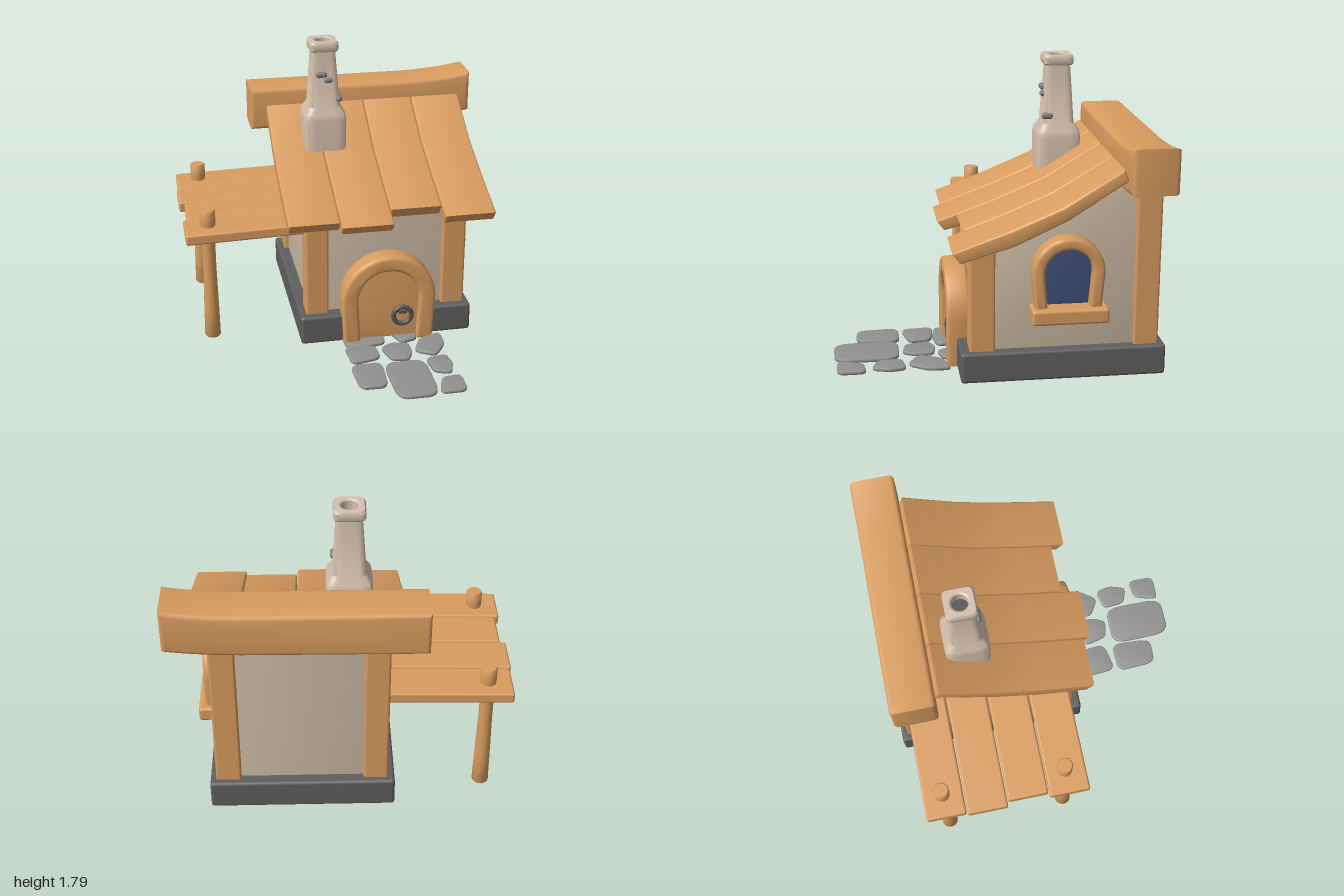
import * as THREE from 'three';
import { toCreasedNormals } from 'three/addons/utils/BufferGeometryUtils.js';
import { RoundedBoxGeometry } from 'three/addons/geometries/RoundedBoxGeometry.js';

const material = (name, color) => {
  const m = new THREE.MeshStandardMaterial({ color });
  m.name = name;
  return m;
};
const V = (x, y) => new THREE.Vector2(x, y);

// Bevelled slab: a flat shape extruded over z = 0..depth
function slab(shape, depth, bevel) {
  const geo = new THREE.ExtrudeGeometry(shape, {
    depth: depth - 2 * bevel, bevelThickness: bevel, bevelSize: bevel,
    bevelOffset: -bevel, bevelSegments: 3, curveSegments: 8,
  });
  return toCreasedNormals(geo.translate(0, 0, bevel), 0.7);
}

// Profile drawn as (z, y), extruded across x0..x1
const profileX = (points, x0, x1, bevel) =>
  slab(new THREE.Shape(points), x1 - x0, bevel).rotateY(-Math.PI / 2).translate(x1, 0, 0);

// Horseshoe outline from lower left, over the top, to lower right
function archPoints(w, wBottom, y0, top) {
  const pts = [V(-wBottom, y0)];
  for (let i = 0; i <= 20; i++) {
    const a = Math.PI * (1 - i / 20);
    pts.push(V(w * Math.cos(a), top - w + w * Math.sin(a)));
  }
  pts.push(V(wBottom, y0));
  return pts;
}

// Polygon with softened corners
function softShape(flat) {
  const p = [];
  for (let i = 0; i < flat.length; i += 2) p.push(V(flat[i], -flat[i + 1]));
  const s = new THREE.Shape(), n = p.length;
  for (let i = 0; i < n; i++) {
    const a = p[i].clone().lerp(p[(i + n - 1) % n], 0.28);
    const b = p[i].clone().lerp(p[(i + 1) % n], 0.28);
    if (i === 0) s.moveTo(a.x, a.y); else s.lineTo(a.x, a.y);
    s.quadraticCurveTo(p[i].x, p[i].y, b.x, b.y);
  }
  s.closePath();
  return s;
}

export function createModel() {
  const model = new THREE.Group();
  model.name = 'cottage';
  const wood = material('wood', 0xd99c5f);
  const plaster = material('plaster', 0xcfbda7);
  const chimneyStone = material('chimneyStone', 0xd5c0ae);
  const darkStone = material('darkStone', 0x5f5f5f);
  const paving = material('paving', 0x919191);
  const pebble = material('pebble', 0x808080);
  const iron = material('iron', 0x555555);
  const glass = material('glass', 0x42507c);

  const add = (name, geo, mat) => {
    const mesh = new THREE.Mesh(geo, mat);
    mesh.name = name;
    model.add(mesh);
    return mesh;
  };
  const box = (name, mat, x0, x1, y0, y1, z0, z1, r = 0.015) => {
    const mesh = add(name, new RoundedBoxGeometry(x1 - x0, y1 - y0, z1 - z0, 3, r), mat);
    mesh.position.set((x0 + x1) / 2, (y0 + y1) / 2, (z0 + z1) / 2);
    return mesh;
  };

  // Foundation, walls and corner posts
  box('foundation', darkStone, -0.31, 0.785, 0.005, 0.19, -0.97, 0.24, 0.018);
  add('walls', profileX([V(0.15, 0.15), V(0.15, 0.83), V(-0.055, 0.89), V(-0.355, 1.03),
    V(-0.58, 1.175), V(-0.9, 1.18), V(-0.9, 0.15)], -0.24, 0.72, 0.002), plaster);
  for (const [x0, x1] of [[-0.27, -0.125], [0.6, 0.75]]) {
    box('frontPost', wood, x0, x1, 0.17, 0.85, 0.037, 0.187);
    box('backPost', wood, x0, x1, 0.17, 1.22, -0.93, -0.78);
  }

  // Roof planks: x range and front overhang
  for (const [x0, x1, zf] of [[-0.385, -0.067, 0.285], [-0.063, 0.259, 0.328],
    [0.263, 0.583, 0.21], [0.587, 0.907, 0.298]]) {
    add('roofPlank', profileX([
      V(zf, 0.97 - (zf + 0.035) * 0.37), V(-0.035, 0.97), V(-0.32, 1.09), V(-0.66, 1.295),
      V(-0.69, 1.23), V(-0.355, 1.015), V(-0.055, 0.875),
      V(zf - 0.045, 0.875 - (zf + 0.01) * 0.294)], x0, x1, 0.012), wood);
  }

  // Ridge beam, lifting towards one end
  const beam = new THREE.Shape();
  beam.moveTo(-0.485, 1.122);
  beam.lineTo(0.55, 1.13);
  beam.quadraticCurveTo(0.8, 1.135, 0.995, 1.165);
  beam.lineTo(0.995, 1.432);
  beam.quadraticCurveTo(0.8, 1.395, 0.55, 1.392);
  beam.lineTo(-0.485, 1.392);
  beam.closePath();
  add('ridgeBeam', slab(beam, 0.27, 0.025).translate(0, 0, -0.955), wood);

  // Chimney: a turned profile pushed out to a rounded square, round at the flue
  const chimney = new THREE.LatheGeometry([[0.135, 0.99], [0.135, 1.29], [0.129, 1.325],
    [0.098, 1.37], [0.073, 1.728], [0.086, 1.728], [0.092, 1.738], [0.092, 1.775],
    [0.083, 1.79], [0.06, 1.79], [0.05, 1.783], [0.05, 1.7]].map(([r, y]) => V(r, y)), 48);
  const pos = chimney.attributes.position;
  for (let i = 0; i < pos.count; i++) {
    const x = pos.getX(i), z = pos.getZ(i), r = Math.hypot(x, z);
    if (r < 0.065) continue;
    const k = Math.pow(Math.abs(x / r) ** 7 + Math.abs(z / r) ** 7, -1 / 7);
    pos.setXYZ(i, x * k, pos.getY(i), z * k);
  }
  add('chimney', toCreasedNormals(chimney, 0.6), chimneyStone).position.set(-0.048, 0, -0.445);
  const flue = add('flue', new THREE.CircleGeometry(0.052, 24).rotateX(-Math.PI / 2), iron);
  flue.position.set(-0.048, 1.715, -0.445);
  box('chimneyPebble', pebble, -0.107, -0.035, 1.565, 1.602, -0.375, -0.34, 0.016);
  box('chimneyPebble', pebble, -0.055, 0, 1.53, 1.563, -0.375, -0.337, 0.015);
  box('chimneyPebble', pebble, 0.022, 0.06, 1.4, 1.438, -0.408, -0.338, 0.016);
  box('wallPebble', pebble, -0.26, -0.225, 0.89, 0.94, -0.52, -0.45, 0.015);

  // Door, its arched frame and the ring handle
  const frame = (outer, inner) => new THREE.Shape([...outer, ...inner.reverse()]);
  add('doorFrame', slab(frame(archPoints(0.3, 0.283, 0.003, 0.595),
    archPoints(0.195, 0.18, 0.003, 0.495)), 0.14, 0.022).translate(0.24, 0, 0.158), wood);
  add('door', slab(new THREE.Shape(archPoints(0.21, 0.195, 0.02, 0.51)), 0.1, 0.004)
    .translate(0.24, 0, 0.16), wood);
  add('doorRing', new THREE.TorusGeometry(0.058, 0.015, 10, 32), iron).position.set(0.33, 0.172, 0.274);
  box('ringMount', iron, 0.302, 0.358, 0.188, 0.222, 0.25, 0.292, 0.012);

  // Side window with frame and sill
  const onSide = (geo, x) => geo.rotateY(Math.PI / 2).translate(x, 0, -0.38);
  add('windowFrame', onSide(slab(frame(archPoints(0.212, 0.19, 0.42, 0.88),
    archPoints(0.14, 0.12, 0.42, 0.81)), 0.12, 0.02), 0.7), wood);
  add('windowPane', onSide(slab(new THREE.Shape(archPoints(0.15, 0.13, 0.42, 0.82)),
    0.009, 0.001), 0.74), glass);
  box('windowSill', wood, 0.7, 0.86, 0.373, 0.465, -0.612, -0.163, 0.018);

  // Lean-to: deck planks on two round posts
  for (const [x0, z0, z1] of [[-0.99, -0.88, -0.636], [-1, -0.63, -0.382],
    [-0.967, -0.376, -0.127], [-0.993, -0.121, 0.128]]) {
    box('shelterPlank', wood, x0, -0.24, 0.711, 0.779, z0, z1, 0.014).rotation.z = 0.024;
  }
  const postProfile = [[0, 0.003], [0.044, 0.003], [0.05, 0.012], [0.047, 0.2], [0.041, 0.5],
    [0.041, 0.68], [0.048, 0.8], [0.048, 0.872], [0.043, 0.88], [0, 0.88]].map(([r, y]) => V(r, y));
  for (const z of [-0.76, 0]) {
    const post = add('shelterPost', toCreasedNormals(new THREE.LatheGeometry(postProfile, 24), 0.7), wood);
    post.position.set(-0.848, 0, z - 0.002);
  }

  // Stepping stones, outlines as x, z pairs
  const stones = [
    [-0.06, 0.34, 0.135, 0.36, 0.145, 0.505, -0.045, 0.545],
    [0.165, 0.39, 0.245, 0.345, 0.35, 0.365, 0.35, 0.48, 0.31, 0.555, 0.2, 0.535],
    [0.43, 0.32, 0.575, 0.27, 0.575, 0.41, 0.49, 0.535, 0.365, 0.46],
    [-0.065, 0.565, 0.135, 0.56, 0.12, 0.83, -0.05, 0.825],
    [0.138, 0.575, 0.402, 0.575, 0.402, 0.97, 0.147, 0.97],
    [0.41, 0.565, 0.545, 0.54, 0.565, 0.64, 0.53, 0.75, 0.425, 0.715],
    [0.45, 0.795, 0.575, 0.78, 0.575, 0.955, 0.405, 0.955],
    [-0.05, 0.19, 0.21, 0.19, 0.21, 0.335, 0.08, 0.355, -0.045, 0.335],
    [0.25, 0.19, 0.42, 0.19, 0.42, 0.315, 0.31, 0.345],
  ];
  for (const s of stones) {
    add('steppingStone', slab(softShape(s), 0.024, 0.008).rotateX(-Math.PI / 2).translate(0, 0.003, 0), paving);
  }
  return model;
}
